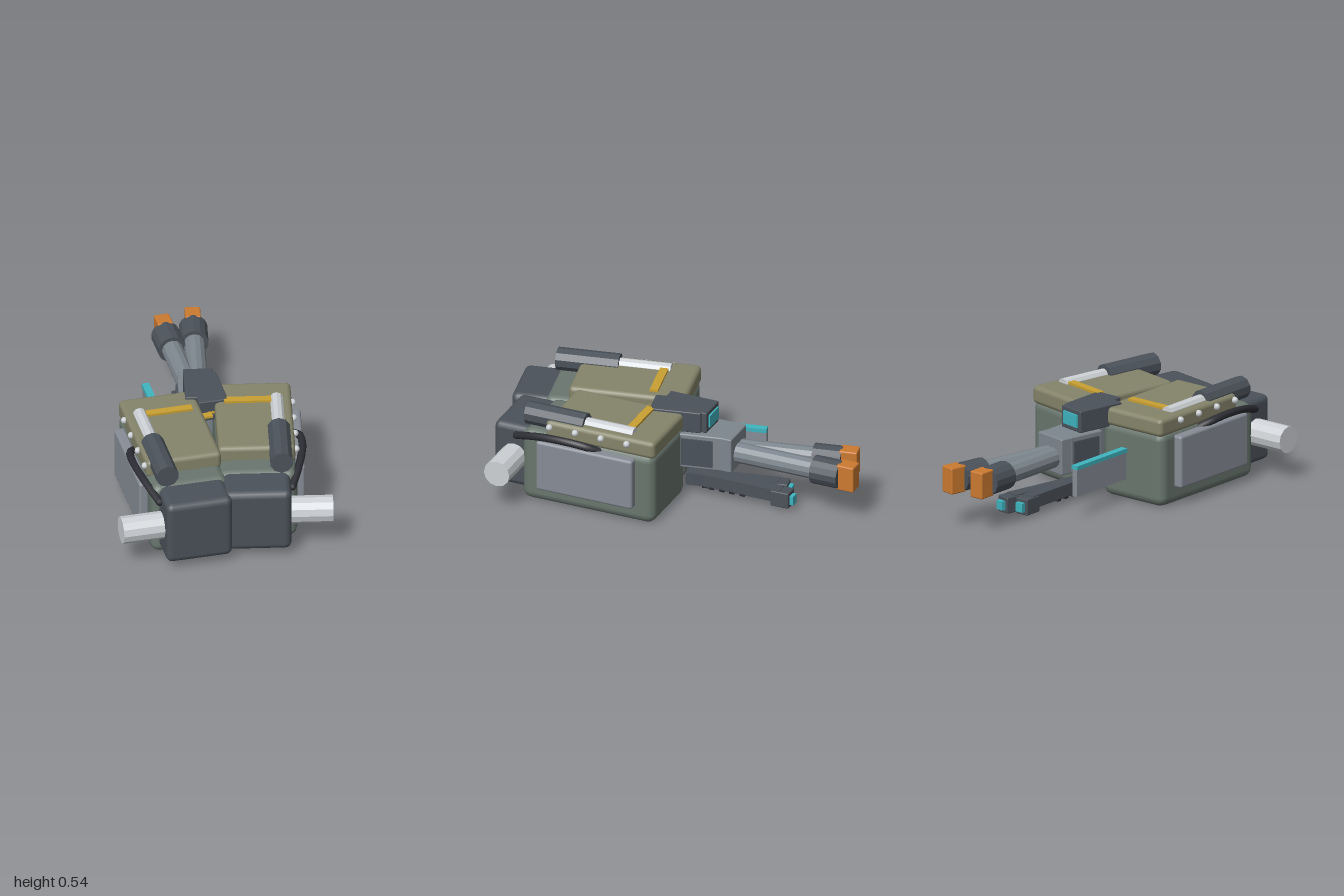
import * as THREE from 'three';
import { RoundedBoxGeometry } from 'three/addons/geometries/RoundedBoxGeometry.js';

const mat = (name, color, extra = {}) => {
  const m = new THREE.MeshStandardMaterial({ color, ...extra });
  m.name = name;
  return m;
};

export function createModel() {
  const M = {
    hull: mat('green grey', 0x69766e),
    lid: mat('olive', 0x85846a),
    dark: mat('dark slate', 0x4b525a),
    steel: mat('steel grey', 0x7d868e),
    plate: mat('plate grey', 0x878c96),
    silver: mat('silver', 0xcdd1d5),
    black: mat('cable black', 0x2d2e34),
    orange: mat('orange', 0xcb7a30),
    yellow: mat('yellow', 0xc9a032),
    teal: mat('teal', 0x3fb4bf),
  };

  // One half of the pack; s = 1 is the left half, s = -1 the right half.
  // Local x runs outwards, so the mirrored half only flips its sign.
  function half(s) {
    const g = new THREE.Group();
    g.name = s > 0 ? 'leftHalf' : 'rightHalf';

    const add = (name, geo, material, x, y, z) => {
      const m = new THREE.Mesh(geo, material);
      m.name = name;
      m.position.set(s * x, y, z);
      g.add(m);
      return m;
    };
    const box = (name, material, w, h, d, x, y, z, r = 0) =>
      add(name, r ? new RoundedBoxGeometry(w, h, d, 2, r) : new THREE.BoxGeometry(w, h, d),
        material, x, y, z);
    const rod = (name, material, r, len, sides, axis, x, y, z) => {
      const geo = new THREE.CylinderGeometry(r, r, len, sides).toNonIndexed();
      if (axis === 'z') geo.rotateX(Math.PI / 2);
      else geo.rotateZ(Math.PI / 2);
      geo.computeVertexNormals();
      return add(name, geo, material, x, y, z);
    };

    // Main case, lid and front block
    box('case', M.hull, 0.42, 0.415, 0.77, 0, 0.2125, 0, 0.05);
    box('lid', M.lid, 0.41, 0.1, 0.635, 0, 0.447, -0.07, 0.025);
    box('frontBlock', M.dark, 0.36, 0.36, 0.24, -0.009, 0.23, 0.443, 0.035);
    box('sidePanel', M.plate, 0.07, 0.29, 0.56, 0.22, 0.245, 0, 0.015);
    rod('exhaust', M.silver, 0.074, 0.25, 12, 'x', 0.27, 0.227, 0.443);

    // Lid markings
    box('lidStripe', M.yellow, 0.25, 0.02, 0.045, -0.029, 0.5, -0.207);
    box('innerStripe', M.yellow, 0.1, 0.012, 0.04, -0.215, 0.44, -0.205);

    // Piston along the lid, with studs below it
    rod('pistonSleeve', M.dark, 0.062, 0.34, 10, 'z', 0.125, 0.483, 0.21);
    rod('pistonRod', M.silver, 0.036, 0.3, 10, 'z', 0.125, 0.488, -0.09);
    for (const z of [0.22, 0.07, -0.08, -0.23])
      add('stud', new THREE.SphereGeometry(0.019, 8, 6), M.silver, 0.21, 0.465, z);

    // Cable arching from the front block to the side panel
    const path = new THREE.CatmullRomCurve3([
      [0.18, 0.36, 0.425], [0.225, 0.405, 0.27], [0.247, 0.422, 0.11], [0.235, 0.41, 0], [0.19, 0.375, -0.08],
    ].map(([x, y, z]) => new THREE.Vector3(s * x, y, z)));
    add('cable', new THREE.TubeGeometry(path, 20, 0.021, 8), M.black, 0, 0, 0);
    const cap = add('cableEnd', new THREE.SphereGeometry(0.021, 8, 6), M.black, 0.18, 0.36, 0.425);
    cap.scale.setScalar(0.98);

    // Rear receiver and sight
    box('receiver', M.steel, 0.2, 0.2, 0.28, -0.285, 0.29, -0.52, 0.008);
    box('receiverPanel', M.dark, 0.02, 0.155, 0.17, -0.386, 0.288, -0.495);
    box('sight', M.dark, 0.16, 0.12, 0.28, -0.28, 0.45, -0.37, 0.006);
    box('sightLens', M.teal, 0.115, 0.07, 0.016, -0.28, 0.452, -0.512);

    // Barrel
    rod('barrel', M.steel, 0.056, 0.5, 12, 'z', -0.272, 0.277, -0.88);
    rod('muzzle', M.dark, 0.077, 0.156, 14, 'z', -0.272, 0.276, -1.185);
    box('muzzleTip', M.orange, 0.083, 0.147, 0.1, -0.272, 0.276, -1.3, 0.008);

    // Lower rail with ribs and a lit tip
    box('lowerRail', M.dark, 0.07, 0.07, 0.5, -0.272, 0.08, -0.665);
    box('lowerRailHead', M.dark, 0.08, 0.09, 0.105, -0.272, 0.066, -0.918, 0.006);
    box('lowerRailTip', M.teal, 0.045, 0.05, 0.025, -0.272, 0.065, -0.98);
    for (let i = 0; i < 4; i++)
      box('railRib', M.black, 0.075, 0.012, 0.028, -0.272, 0.043, -0.52 - i * 0.06);

    // Fin with a lit upper edge, on the right half only
    if (s < 0) {
      box('fin', M.plate, 0.03, 0.15, 0.42, -0.048, 0.2, -0.59);
      box('finLight', M.teal, 0.04, 0.022, 0.42, -0.048, 0.285, -0.59);
    }

    g.position.set(s * 0.2225, 0, s > 0 ? 0.37 : 0.415);
    g.rotation.y = -s * 0.1;
    return g;
  }

  const model = new THREE.Group();
  model.name = 'twinPack';
  model.add(half(1), half(-1));
  return model;
}
